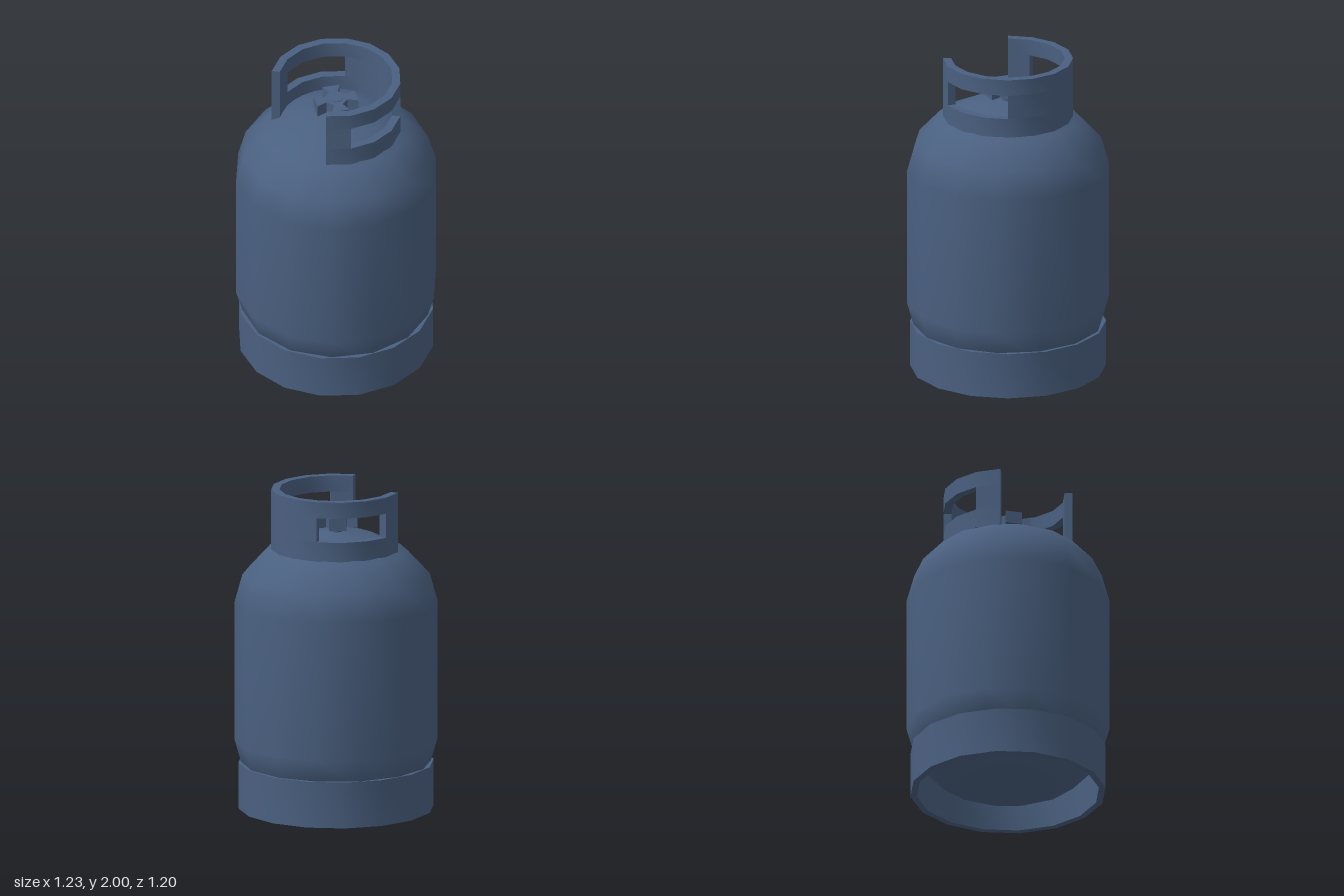
import * as THREE from 'three';
import { toCreasedNormals } from 'three/addons/utils/BufferGeometryUtils.js';

const STEP = Math.PI / 8; // collar, foot and hand wheel share 16-sided spacing

export function createModel() {
  const group = new THREE.Group();
  const paint = new THREE.MeshStandardMaterial({ color: 0x4a6080 });

  const add = (parent, name, geometry) => {
    const mesh = new THREE.Mesh(geometry, paint);
    mesh.name = name;
    parent.add(mesh);
    return mesh;
  };

  const polar = (r, a) => new THREE.Vector2(r * Math.cos(a), r * Math.sin(a));

  // Extrudes an outline drawn in plan upwards from y0 to y1
  const slab = (points, y0, y1) => {
    const g = new THREE.ExtrudeGeometry(new THREE.Shape(points), { depth: y1 - y0, bevelEnabled: false });
    return g.rotateX(-Math.PI / 2).translate(0, y0, 0);
  };

  // Curved wall between two angles, counted in steps
  const wall = (from, to, y0, y1) => {
    const outer = [], inner = [];
    for (let i = from; i <= to; i++) {
      outer.push(polar(0.395, i * STEP));
      inner.unshift(polar(0.345, i * STEP));
    }
    return toCreasedNormals(slab([...outer, ...inner], y0, y1), 0.6);
  };

  // Tank: straight sides with an elliptical dome at each end
  const profile = [];
  for (const [centre, start] of [[0.44, -4], [1.3, 0]]) {
    for (let i = start; i <= start + 4; i++) {
      const a = i * STEP;
      profile.push(new THREE.Vector2(Math.max(0, 0.615 * Math.cos(a)), centre + 0.44 * Math.sin(a)));
    }
  }
  add(group, 'tank', new THREE.LatheGeometry(profile, 14).rotateY(Math.PI / 2));

  // Foot ring, open in the middle
  const ring = [[0.555, 0.02], [0.595, 0.02], [0.595, 0.305], [0.555, 0.305], [0.555, 0.02]]
    .map(([r, y]) => new THREE.Vector2(r, y));
  add(group, 'footRing', toCreasedNormals(new THREE.LatheGeometry(ring, 16), 0.6));

  // Collar, open towards -x, with a hand hole on each side
  const collar = new THREE.Group();
  collar.name = 'collar';
  group.add(collar);
  add(collar, 'collarBase', wall(-6, 6, 1.63, 1.75));
  add(collar, 'collarRim', wall(-6, 6, 1.9, 2));
  add(collar, 'collarBackPost', wall(-2, 2, 1.75, 1.9));
  add(collar, 'collarLeftPost', wall(5, 6, 1.75, 1.9));
  add(collar, 'collarRightPost', wall(-6, -5, 1.75, 1.9));

  // Valve: short stem and a four-bladed hand wheel
  const valve = new THREE.Group();
  valve.name = 'valve';
  group.add(valve);
  const wheel = [];
  for (let i = 0; i < 4; i++) {
    const a = i * Math.PI / 2 + Math.PI / 4, b = (i + 1) * Math.PI / 2;
    wheel.push(polar(0.07, a), polar(0.138, a), polar(0.138, b), polar(0.07, b));
  }
  add(valve, 'handWheel', slab(wheel, 1.763, 1.84));
  const stem = new THREE.CylinderGeometry(0.04, 0.04, 0.133, 12);
  add(valve, 'valveStem', stem).position.y = 1.777;

  return group;
}
